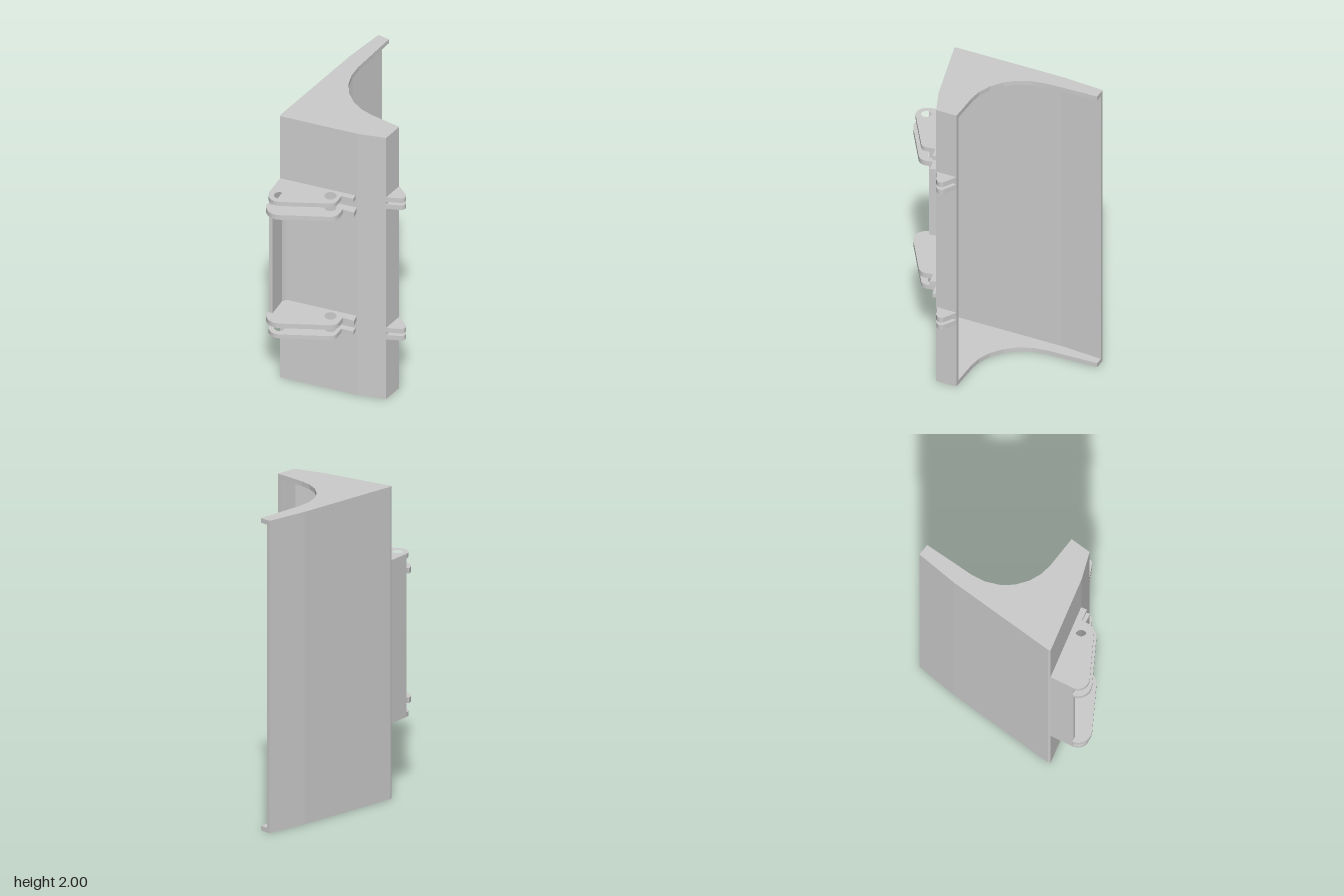
import * as THREE from 'three';

const material = new THREE.MeshStandardMaterial({ color: 0xcccccc, flatShading: true });

// Extrudes an outline given in (x, z) between two heights, with round holes [x, z, r]
function slab(name, outline, y0, y1, holes = []) {
  const shape = new THREE.Shape(outline.map(([x, z]) => new THREE.Vector2(x, z)));
  for (const [x, z, r] of holes) {
    const hole = new THREE.Path();
    hole.absarc(x, z, r, 0, Math.PI * 2, true);
    shape.holes.push(hole);
  }
  const geometry = new THREE.ExtrudeGeometry(shape, {
    depth: y1 - y0, bevelEnabled: false, curveSegments: 10,
  });
  geometry.rotateX(Math.PI / 2);
  geometry.translate(0, y1, 0);
  const mesh = new THREE.Mesh(geometry, material);
  mesh.name = name;
  return mesh;
}

// Points on an arc in (x, z), angles in degrees
function arc(cx, cz, r, from, to, n = 6) {
  return Array.from({ length: n + 1 }, (_, i) => {
    const a = THREE.MathUtils.degToRad(from + (to - from) * i / n);
    return [cx + r * Math.cos(a), cz + r * Math.sin(a)];
  });
}

export function createModel() {
  const group = new THREE.Group();
  group.name = 'hingedTrough';

  // Outer line shared by the bent sheet and the end plates
  const outer = [
    [0.615, -0.36], [0.34, -0.378], [-0.38, -0.378], [-0.397, -0.372],
    [-0.268, 0.11], [-0.2, 0.28], [-0.062, 0.28],
  ];

  // Bent sheet: back, side wall and front flange
  group.add(slab('bentSheet', [
    ...outer,
    [-0.062, 0.255], [-0.183, 0.255], [-0.244, 0.104],
    [-0.366, -0.353], [0.34, -0.353], [0.615, -0.335],
  ], 0.03, 1.97));

  // End plates with the concave cut-out
  const endOutline = [
    ...outer,
    [-0.062, 0.07], [-0.052, -0.01], [-0.02, -0.09], [0.035, -0.165],
    [0.105, -0.22], [0.19, -0.257], [0.28, -0.272], [0.615, -0.283],
  ];
  group.add(slab('bottomEndPlate', endOutline, 0, 0.03));
  group.add(slab('topEndPlate', endOutline, 1.97, 2));

  // Side bracket plates: r grows the free edge of the inner pair slightly
  const bracket = (grow) => [
    [-0.397, -0.372],
    [-0.55, -0.344],
    ...(grow ? [[-0.55, -0.356]] : []),
    ...arc(-0.535, -0.275, 0.07 + grow, 255, 145),
    ...arc(-0.39, 0.0, 0.045 + grow, 145, 85, 4),
    [-0.325 - grow * 0.6, 0.037 + grow],
    [-0.308 - grow * 0.8, 0.112 + grow],
    [-0.268, 0.1 + grow * 0.6],
  ];
  const smallHole = [-0.362, -0.02, 0.037];
  const pinHole = [-0.54, -0.276, 0.032];
  const boltHole = [smallHole[0], -0.02, smallHole[2]];
  for (const y of [0.48, 1.495])
    group.add(slab('outerBracketPlate', bracket(0), y, y + 0.03, [boltHole, pinHole]));
  for (const y of [0.57, 1.4])
    group.add(slab('innerBracketPlate', bracket(0.015), y, y + 0.035, [boltHole]));

  // Panel joining the brackets, with a small fillet at the wall
  group.add(slab('bracketPanel', [
    [-0.397, -0.372], [-0.55, -0.344], [-0.546, -0.322],
    [-0.415, -0.345], [-0.402, -0.34], [-0.386, -0.332],
  ], 0.48, 1.525));

  // Pairs of lugs on the front flange
  const lug = [
    [-0.2, 0.28], [-0.16, 0.355],
    ...arc(-0.132, 0.345, 0.03, 155, 25, 6),
    [-0.062, 0.28],
  ];
  for (const y of [0.458, 0.512, 1.458, 1.512])
    group.add(slab('frontLug', lug, y, y + 0.034));

  return group;
}
